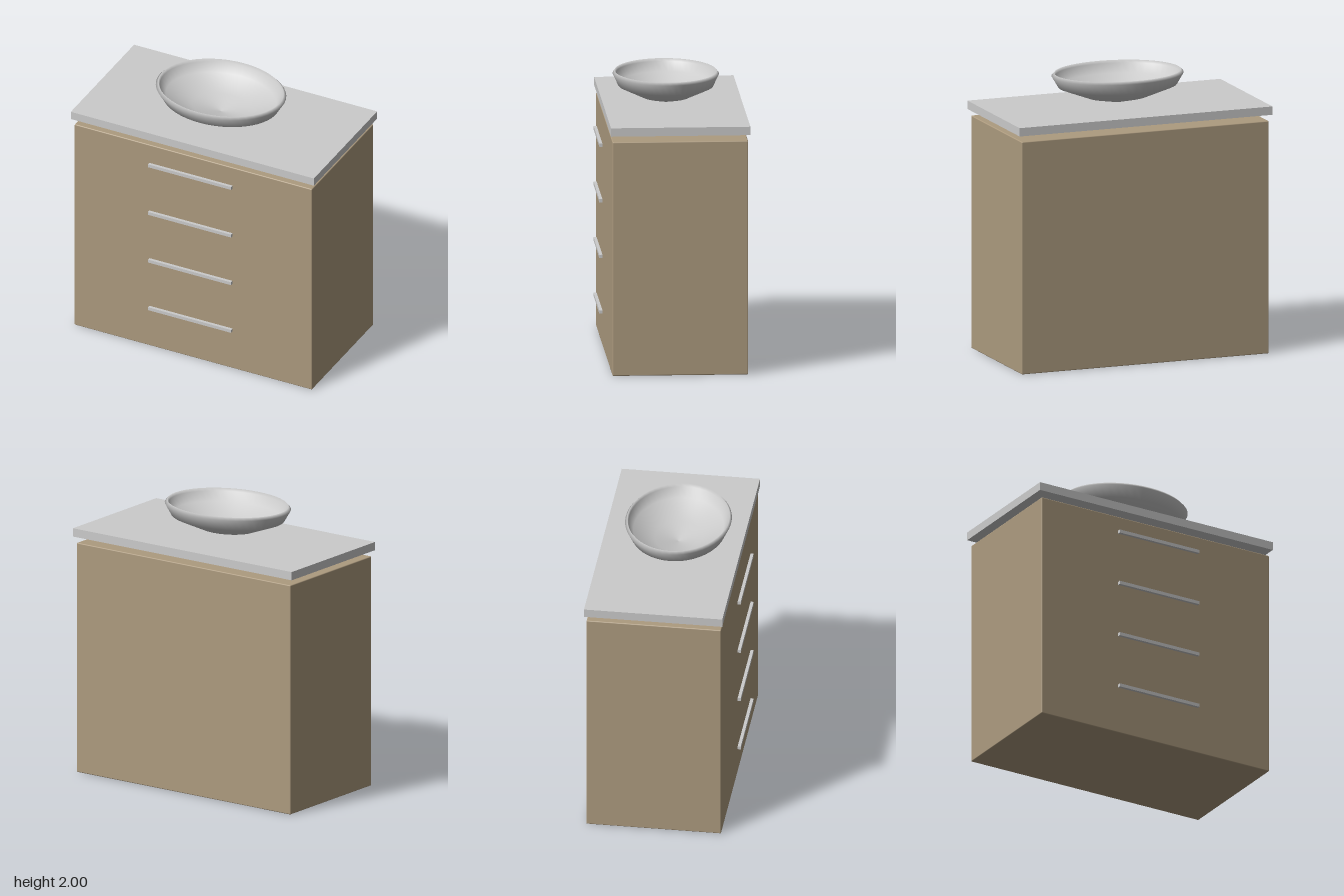
import * as THREE from 'three';
import { RoundedBoxGeometry } from 'three/addons/geometries/RoundedBoxGeometry.js';

const grey = new THREE.MeshStandardMaterial({ color: 0xcccccc });
const wood = new THREE.MeshStandardMaterial({ color: 0xad9b7f });
const ceramic = new THREE.MeshStandardMaterial({ color: 0xcccccc, side: THREE.DoubleSide });

export function createModel() {
  const model = new THREE.Group();
  model.name = 'washbasinCabinet';

  const add = (name, geometry, material, x, y, z) => {
    const mesh = new THREE.Mesh(geometry, material);
    mesh.name = name;
    mesh.position.set(x, y, z);
    model.add(mesh);
    return mesh;
  };

  // Cabinet body with slightly eased edges
  add('cabinet', new RoundedBoxGeometry(1.87, 1.67, 0.954, 2, 0.007), wood, 0, 0.835, -0.021);

  // Countertop, floating above the cabinet by a shadow gap
  add('countertop', new THREE.BoxGeometry(1.914, 0.06, 0.98), grey, 0, 1.745, -0.022);

  // Four drawer handles
  const handle = new THREE.BoxGeometry(0.654, 0.024, 0.022);
  for (let i = 0; i < 4; i++) {
    add(`drawerHandle${i + 1}`, handle, grey, 0, 0.342 + i * 0.397, 0.5);
  }

  // Oval basin: outer wall, rolled rim, then inner bowl
  const profile = [
    [0, 0], [0.22, 0.045], [0.43, 0.125], [0.478, 0.205], [0.458, 0.225],
    [0.448, 0.205], [0.405, 0.14], [0.21, 0.068], [0, 0.03],
  ].map(([r, y]) => new THREE.Vector2(r, y));
  const basin = add('basin', new THREE.LatheGeometry(profile, 48), ceramic, 0, 1.775, 0.024);
  basin.scale.z = 0.78;

  return model;
}
